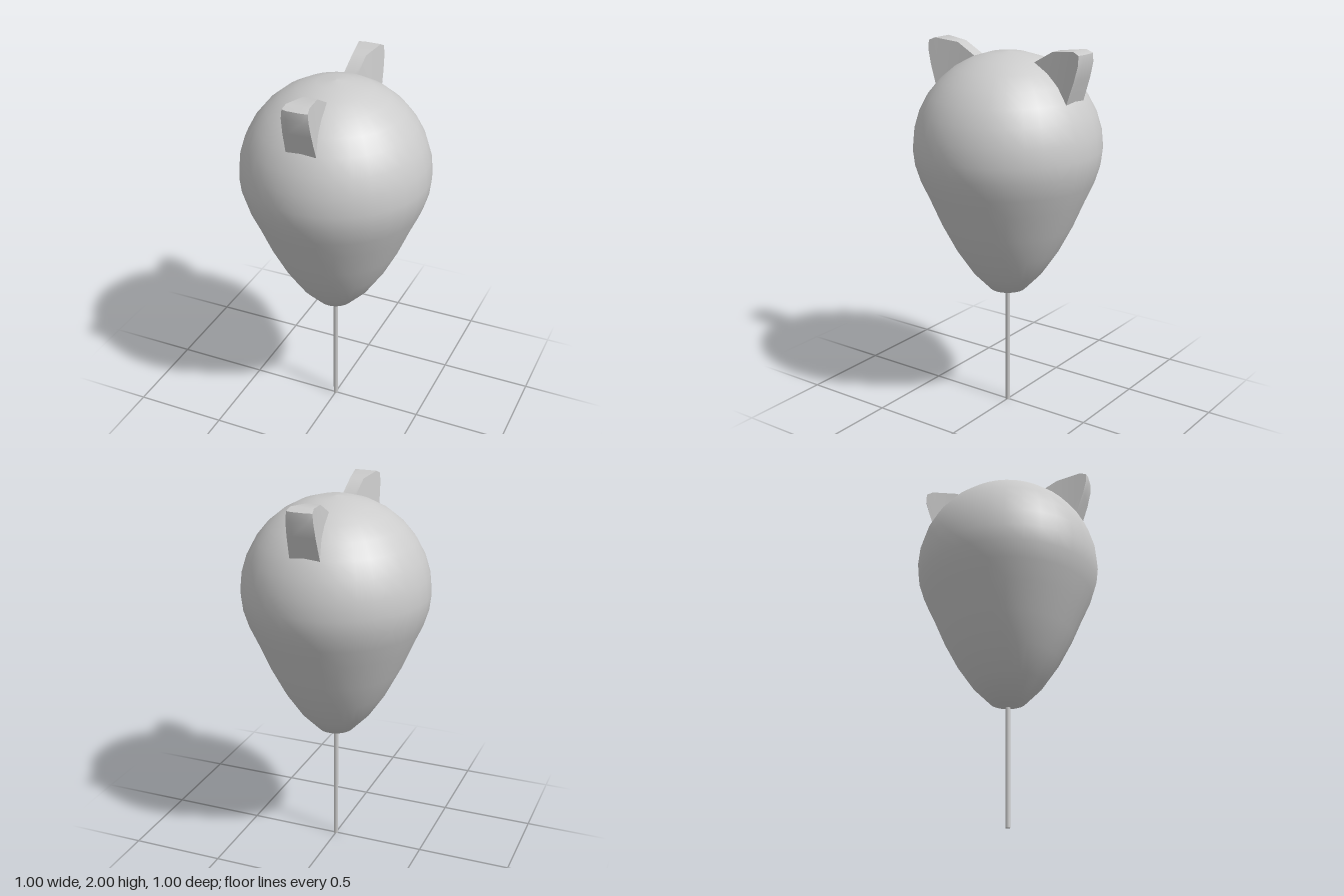
import * as THREE from 'three';
import { toCreasedNormals } from 'three/addons/utils/BufferGeometryUtils.js';

const material = new THREE.MeshStandardMaterial({ color: 0xcccccc });

// Ear outline: [z, y, half width, bulge at the middle], outer base over the tip to the inner base
const earRing = [
  [0.37, 1.62, 0.083, 0],
  [0.41, 1.745, 0.08, 0],
  [0.447, 1.86, 0.075, 0.004],
  [0.466, 1.94, 0.071, 0.007],
  [0.464, 1.985, 0.067, 0.008],
  [0.43, 2.0, 0.06, 0],
  [0.295, 1.985, 0.037, 0],
  [0.19, 1.925, 0.037, 0],
  [0.15, 1.86, 0.037, 0],
];

function earGeometry() {
  const columns = [-1, -0.6, 0.6, 1];
  const n = earRing.length;
  const positions = [];
  const index = [];
  columns.forEach((c) => earRing.forEach(([z, y, w, bulge]) => {
    positions.push(c * w, y, z + (Math.abs(c) < 1 ? bulge : 0));
  }));
  // Rim running around the outline
  for (let i = 0; i < columns.length - 1; i++) {
    for (let j = 0; j < n; j++) {
      const k = (j + 1) % n;
      const a = i * n + j, b = a + n, c = (i + 1) * n + k, d = i * n + k;
      index.push(a, b, c, a, c, d);
    }
  }
  // Flat sides
  const last = (columns.length - 1) * n;
  for (let j = 1; j < n - 1; j++) {
    index.push(0, j, j + 1);
    index.push(last, last + j + 1, last + j);
  }
  const geometry = new THREE.BufferGeometry();
  geometry.setAttribute('position', new THREE.Float32BufferAttribute(positions, 3));
  geometry.setIndex(index);
  return toCreasedNormals(geometry, 0.65);
}

function balloonGeometry() {
  // Lower half is a stretched taper, upper half a round dome
  const lowerHeights = [0.64, 0.675, 0.772, 0.9, 1.045, 1.19, 1.29, 1.38];
  const profile = [];
  for (let i = 0; i <= 16; i++) {
    const t = (i / 16) * Math.PI;
    const y = i < 8 ? lowerHeights[i] : 1.462 - 0.5 * Math.cos(t);
    profile.push(new THREE.Vector2(i % 16 ? 0.498 * Math.sin(t) : 0, y));
  }
  return new THREE.LatheGeometry(profile, 32, Math.PI / 2);
}

export function createModel() {
  const model = new THREE.Group();
  model.name = 'earedBalloon';
  const add = (name, geometry) => {
    const mesh = new THREE.Mesh(geometry, material);
    mesh.name = name;
    model.add(mesh);
    return mesh;
  };

  add('balloon', balloonGeometry());

  // Stick below the balloon
  add('stick', new THREE.CylinderGeometry(0.013, 0.013, 0.68, 8)).position.y = 0.34;

  // Matching ears at front and back
  const ear = earGeometry();
  add('frontEar', ear);
  add('backEar', ear).rotation.y = Math.PI;

  return model;
}
